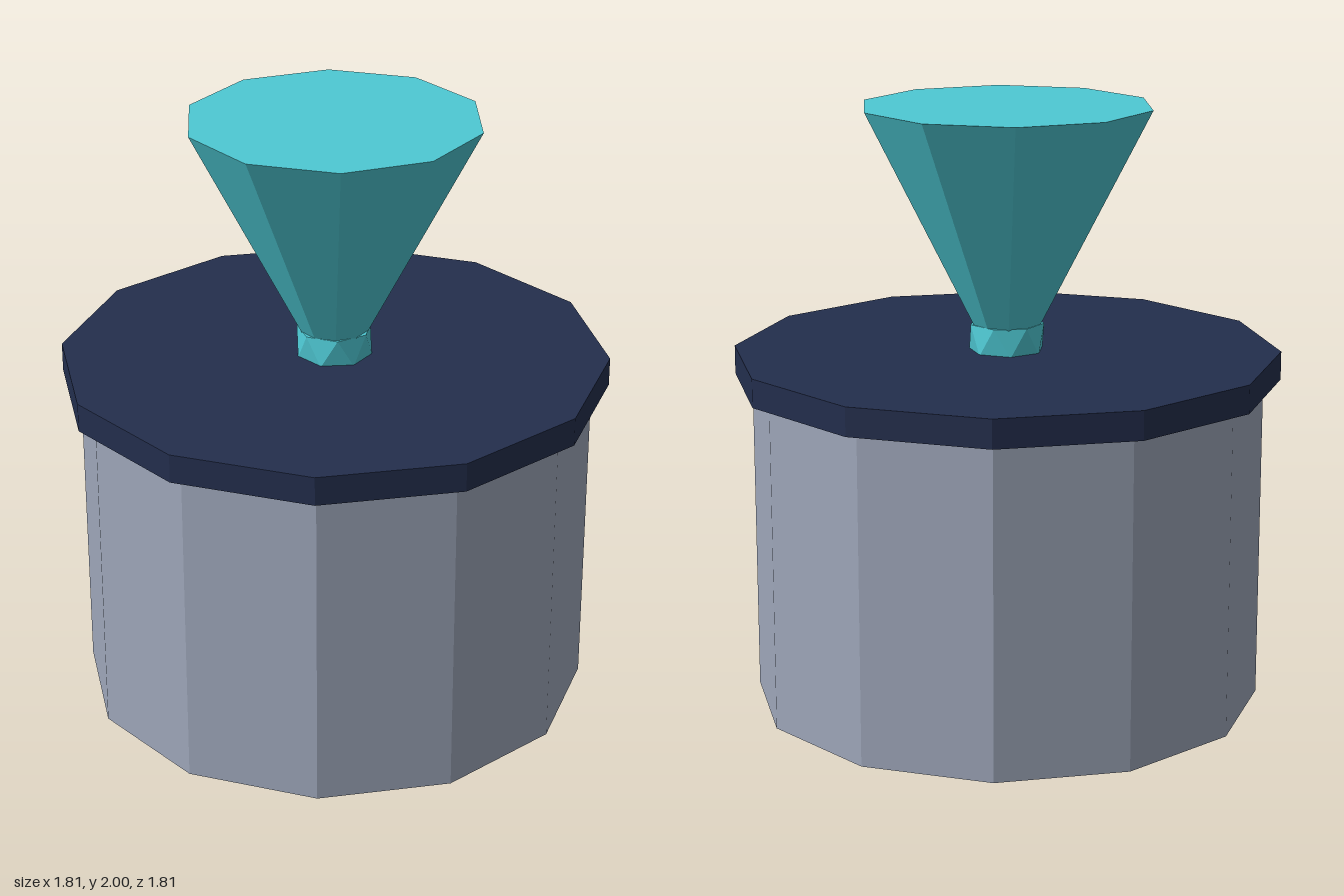
import * as THREE from 'three';

const flat = (name, color) => {
  const m = new THREE.MeshStandardMaterial({ color, flatShading: true });
  m.name = name;
  return m;
};

// Faceted drum between two heights
function drum(name, rTop, rBottom, y0, y1, sides, material) {
  const mesh = new THREE.Mesh(new THREE.CylinderGeometry(rTop, rBottom, y1 - y0, sides), material);
  mesh.name = name;
  mesh.position.y = (y0 + y1) / 2;
  return mesh;
}

// Collar of alternating triangles: the top ring is turned half a step from the bottom ring
function antiprism(rTop, rBottom, y0, y1, sides) {
  const ring = (r, y, start) => Array.from({ length: sides }, (_, i) => {
    const a = start - (i * 2 * Math.PI) / sides;
    return [r * Math.cos(a), y, r * Math.sin(a)];
  });
  const top = ring(rTop, y1, 0);
  const bottom = ring(rBottom, y0, -Math.PI / sides);
  const p = [];
  for (let i = 0; i < sides; i++) {
    const j = (i + 1) % sides;
    p.push(...top[i], ...bottom[i], ...top[j]);
    p.push(...bottom[i], ...bottom[j], ...top[j]);
    p.push(...top[i], ...top[j], 0, y1, 0);
    p.push(...bottom[j], ...bottom[i], 0, y0, 0);
  }
  const g = new THREE.BufferGeometry();
  g.setAttribute('position', new THREE.Float32BufferAttribute(p, 3));
  g.computeVertexNormals();
  return g;
}

export function createModel() {
  const group = new THREE.Group();
  group.name = 'pedestalWithFunnel';
  const grey = flat('stoneGrey', 0x9ea7ba);
  const navy = flat('navy', 0x232e4d);
  const teal = flat('teal', 0x4ec9d4);

  // Pedestal and overhanging lid
  group.add(drum('base', 0.85, 0.85, 0, 1.1, 12, grey));
  group.add(drum('lid', 0.907, 0.907, 1.095, 1.19, 12, navy));

  // Flared funnel standing in a small faceted collar
  group.add(drum('funnel', 0.485, 0.07, 1.19, 2, 10, teal));
  const collar = new THREE.Mesh(antiprism(0.125, 0.125, 1.185, 1.28, 7), teal);
  collar.name = 'collar';
  group.add(collar);
  return group;
}
